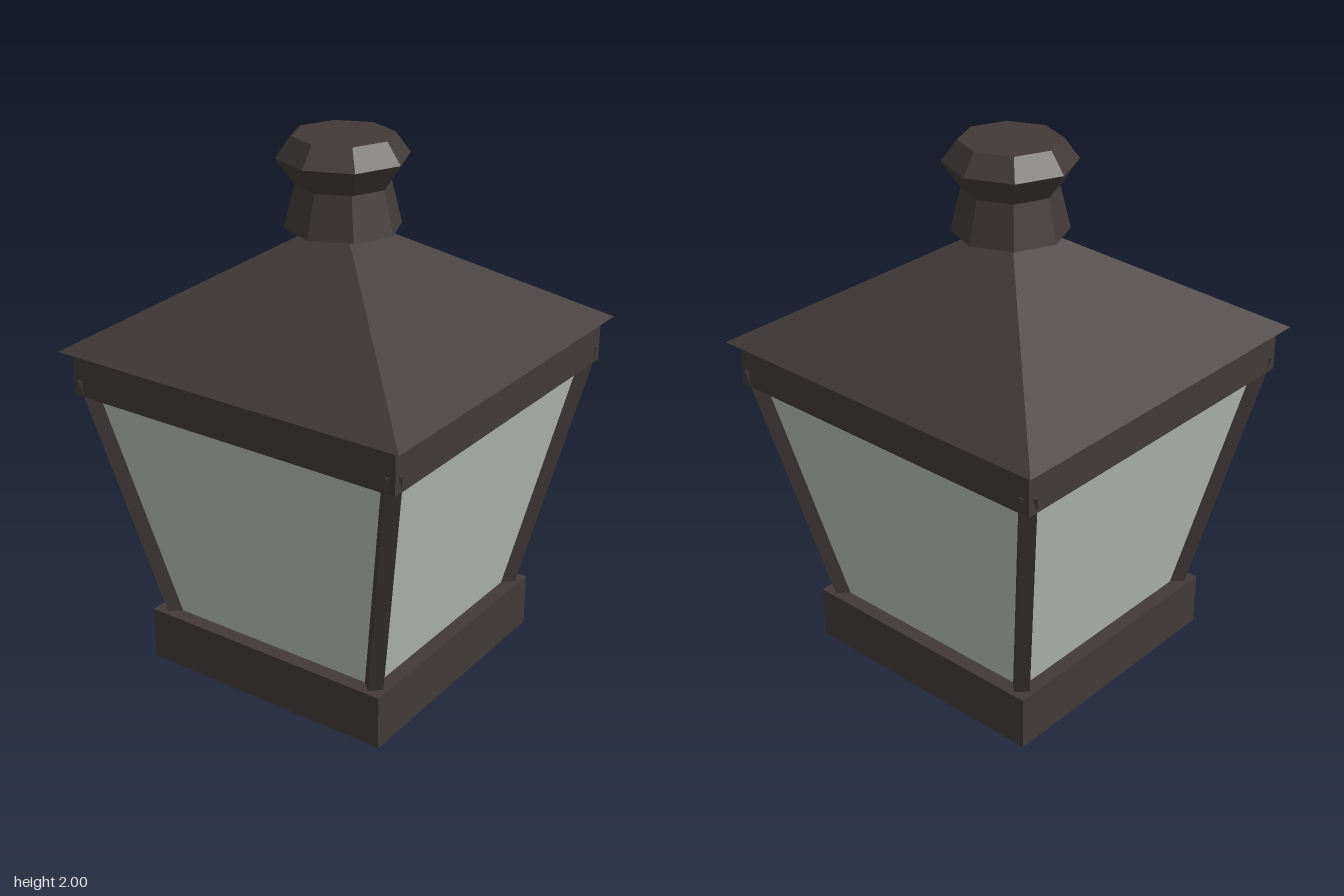
import * as THREE from 'three';

const metal = new THREE.MeshStandardMaterial({ color: 0x413a39, flatShading: true });
metal.name = 'dark metal';
const glass = new THREE.MeshStandardMaterial({ color: 0xb8beb8, flatShading: true });
glass.name = 'frosted glass';

export function createModel() {
  const group = new THREE.Group();

  function add(name, geometry, material) {
    const flat = geometry.toNonIndexed();
    flat.computeVertexNormals();
    const mesh = new THREE.Mesh(flat, material);
    mesh.name = name;
    group.add(mesh);
  }

  // Square block between two heights
  const block = (half, y0, y1) =>
    new THREE.BoxGeometry(half * 2, y1 - y0, half * 2).translate(0, (y0 + y1) / 2, 0);

  // Square tapered shell, sides facing the axes
  const taper = (top, bottom, y0, y1, open) =>
    new THREE.CylinderGeometry(top * Math.SQRT2, bottom * Math.SQRT2, y1 - y0, 4, 1, open, Math.PI / 4)
      .translate(0, (y0 + y1) / 2, 0);

  add('base', block(0.51, 0, 0.205), metal);
  add('glassPanes', taper(0.635, 0.453, 0.2, 1.11, true), glass);
  add('collar', block(0.675, 1.105, 1.26), metal);

  // Roof pyramid, floating just above the collar
  const roof = new THREE.ConeGeometry(0.71 * Math.SQRT2, 0.445, 4, 1, false, Math.PI / 4)
    .translate(0, 1.27 + 0.445 / 2, 0);
  add('roof', roof, metal);

  // Leaning corner posts, turned 45 degrees, whose tips poke through the collar
  const y0 = 0.19, y1 = 1.165;
  for (const sx of [-1, 1]) {
    for (const sz of [-1, 1]) {
      const post = new THREE.CylinderGeometry(0.039, 0.039, y1 - y0, 4).translate(0, (y0 + y1) / 2, 0);
      const p = post.attributes.position;
      for (let i = 0; i < p.count; i++) {
        const offset = 0.453 + (p.getY(i) - 0.2) * 0.201;
        p.setX(i, p.getX(i) + sx * offset);
        p.setZ(i, p.getZ(i) + sz * offset);
      }
      add('cornerPost', post, metal);
    }
  }

  // Eight-sided chimney cap
  const profile = [[0, 1.675], [0.208, 1.675], [0.17, 1.83], [0.235, 1.925], [0.18, 2], [0, 2]]
    .map(([r, y]) => new THREE.Vector2(r, y));
  add('chimneyCap', new THREE.LatheGeometry(profile, 8), metal);

  return group;
}
